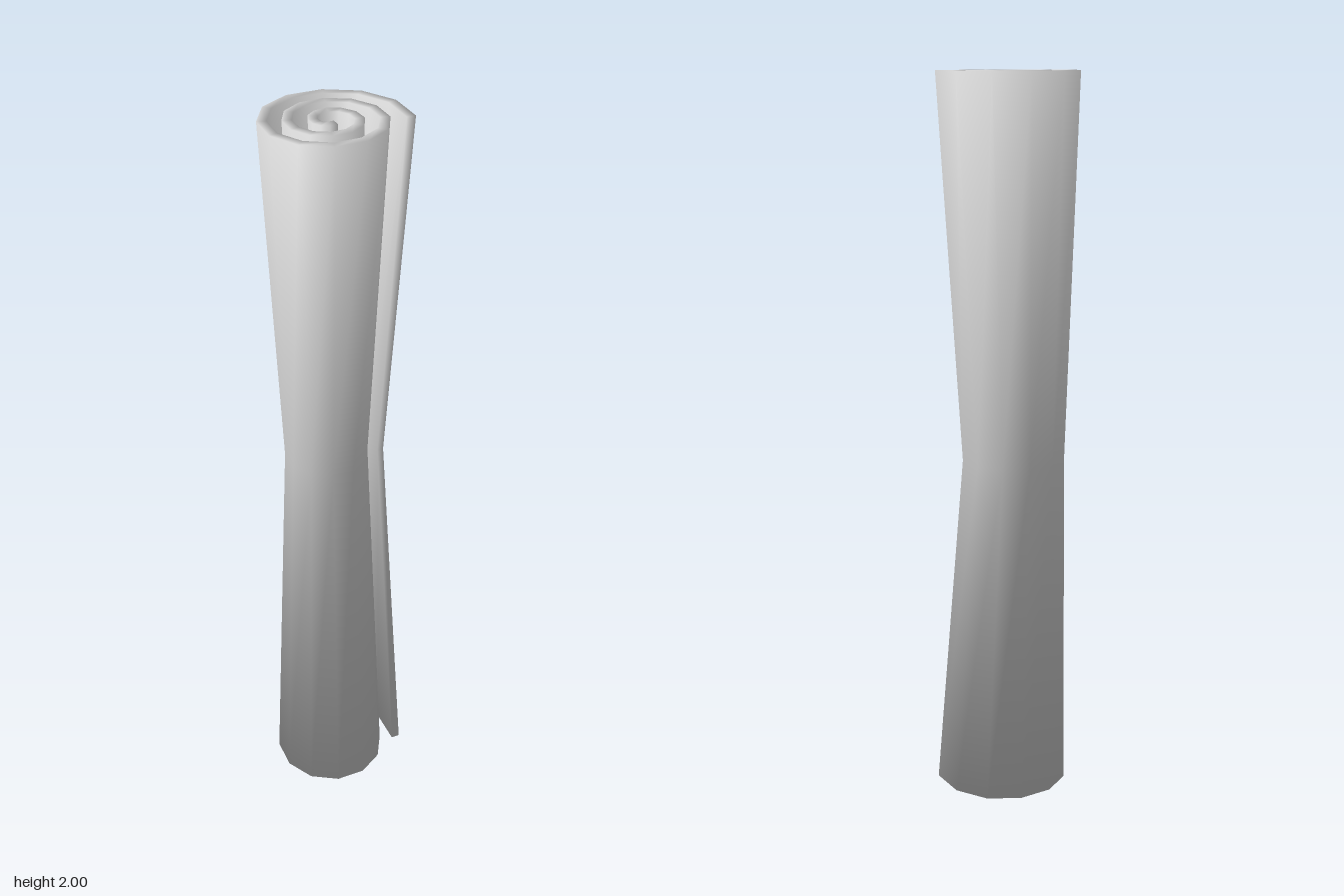
import * as THREE from 'three';

// Outer radius of the rolled sheet at every quarter turn, from the loose edge inwards
const RADII = [0.205, 0.183, 0.169, 0.159, 0.145, 0.128, 0.11, 0.099, 0.085, 0.067, 0.048, 0.04, 0.034];
const STEPS = 34; // 30 degrees each
const THICKNESS = 0.024;

// Height, scale and z offset of the three cross-sections: pinched and bent in the middle
const LEVELS = [
  { y: 0, scale: 1, z: 0.085 },
  { y: 1, scale: 0.733, z: -0.072 },
  { y: 2, scale: 1, z: 0 },
];

function spiralPoint(step) {
  const q = step / 3;
  const i = Math.floor(q);
  const r = THREE.MathUtils.lerp(RADII[i], RADII[i + 1], q - i);
  const a = (step * Math.PI) / 6;
  return new THREE.Vector2(-0.018 + r * Math.cos(a), -0.021 - r * Math.sin(a));
}

// Point of the inner face, square to the run of the sheet
function innerPoint(step) {
  const run = spiralPoint(Math.min(step + 1, STEPS)).sub(spiralPoint(Math.max(step - 1, 0))).setLength(THICKNESS);
  return spiralPoint(step).add(new THREE.Vector2(run.y, -run.x));
}

function rolledSheetGeometry() {
  // Closed outline: outer face inwards along the spiral, inner face back out
  const outline = [];
  for (let s = 0; s <= STEPS; s++) outline.push(spiralPoint(s));
  for (let s = STEPS; s >= 0; s--) outline.push(innerPoint(s));
  const n = outline.length;

  const points = LEVELS.flatMap(({ y, scale, z }) =>
    outline.map((p) => new THREE.Vector3(p.x * scale, y, p.y * scale + z)));
  const normals = points.map(() => new THREE.Vector3());

  // Each quad counts equally in the smooth normals, so the rims shade as rounded edges
  const index = [];
  const quad = (a, b, c, d) => {
    index.push(a, b, c, a, c, d);
    const diagonal = points[c].clone().sub(points[a]);
    const normal = diagonal.cross(points[d].clone().sub(points[b])).normalize();
    for (const corner of [a, b, c, d]) normals[corner].add(normal);
  };
  // Walls
  for (let l = 0; l < LEVELS.length - 1; l++) {
    for (let i = 0; i < n; i++) {
      const j = (i + 1) % n;
      quad(l * n + i, l * n + j, (l + 1) * n + j, (l + 1) * n + i);
    }
  }
  // Spiral rims at the top and bottom
  const top = (LEVELS.length - 1) * n;
  for (let i = 0; i < STEPS; i++) {
    const inner = n - 1 - i;
    quad(top + i, top + i + 1, top + inner - 1, top + inner);
    quad(inner, inner - 1, i + 1, i);
  }

  const geometry = new THREE.BufferGeometry().setFromPoints(points);
  const normalValues = normals.flatMap((v) => v.normalize().toArray());
  geometry.setAttribute('normal', new THREE.Float32BufferAttribute(normalValues, 3));
  geometry.setIndex(index);
  return geometry;
}

export function createModel() {
  const group = new THREE.Group();
  group.name = 'scroll';
  const sheet = new THREE.Mesh(rolledSheetGeometry(), new THREE.MeshStandardMaterial({ color: 0xcccccc }));
  sheet.name = 'rolledSheet';
  group.add(sheet);
  return group;
}
